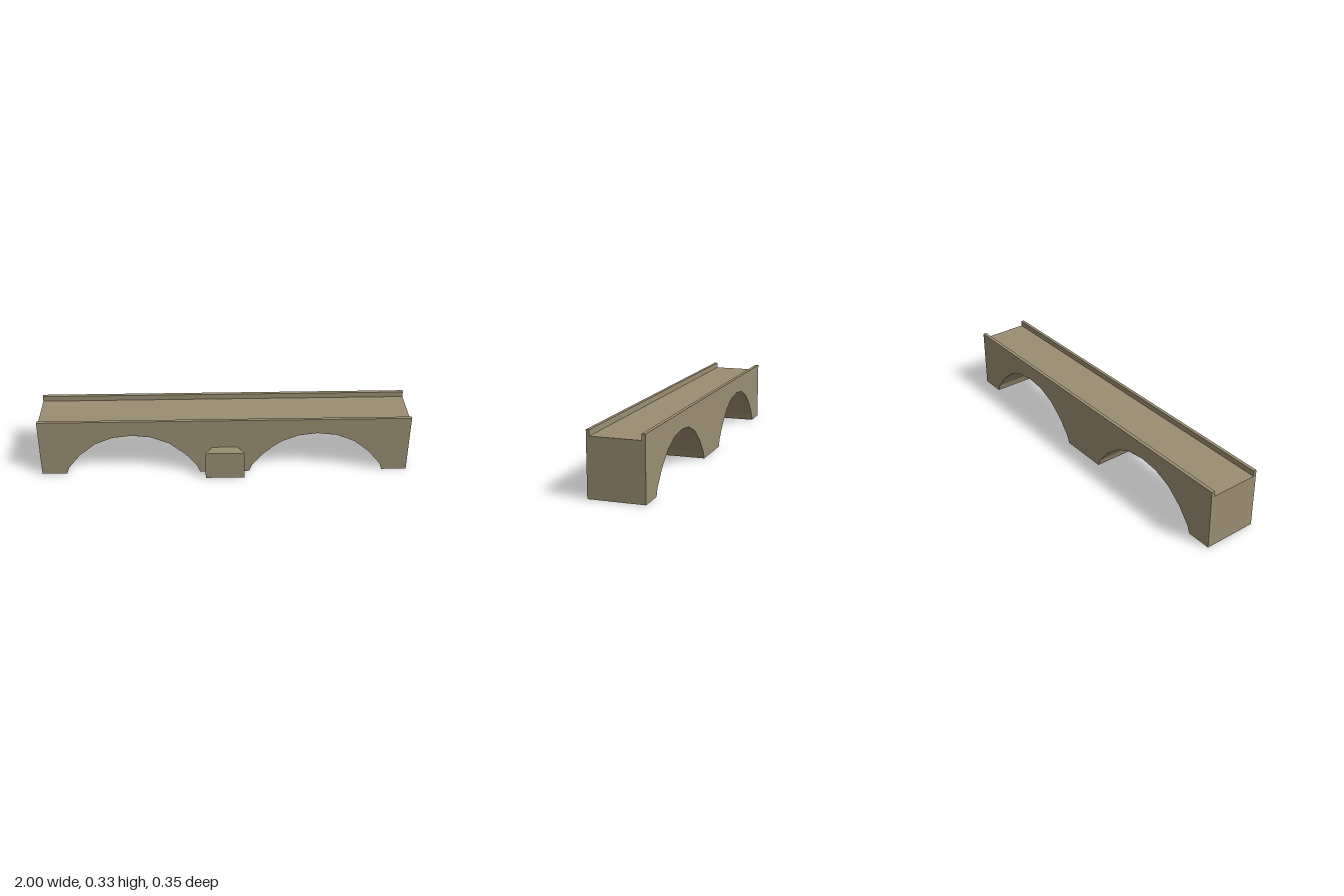
import * as THREE from 'three';

const BACK = -0.175, FRONT = 0.115, DECK = 0.3, TOP = 0.33;

// Half of one arch: distance from the arch centre, height
const ARCH = [[0.365, 0], [0.35, 0.04], [0.285, 0.12], [0.2, 0.19], [0.105, 0.23], [0, 0.243]];

// Drops every triangle for which the test holds at all three corners
function openUp(geometry, test) {
  const p = geometry.attributes.position;
  const kept = [];
  for (let i = 0; i < p.count; i += 3) {
    const corners = [0, 1, 2].map((k) => new THREE.Vector3().fromBufferAttribute(p, i + k));
    if (!corners.every(test)) corners.forEach((c) => kept.push(c.x, c.y, c.z));
  }
  const open = new THREE.BufferGeometry();
  open.setAttribute('position', new THREE.Float32BufferAttribute(kept, 3));
  open.computeVertexNormals();
  return open;
}

const toShape = (points) => new THREE.Shape(points.map(([x, y]) => new THREE.Vector2(x, y)));

export function createModel() {
  const group = new THREE.Group();
  group.name = 'bridge';
  const stone = new THREE.MeshStandardMaterial({
    color: 0x9a8d72, flatShading: true, side: THREE.DoubleSide,
  });
  const add = (name, geometry) => {
    const mesh = new THREE.Mesh(geometry, stone);
    mesh.name = name;
    group.add(mesh);
    return mesh;
  };

  // Hollow two-arched body, open underneath
  const outline = [[-1, 0]];
  for (const cx of [-0.5, 0.5]) {
    ARCH.forEach(([dx, y]) => outline.push([cx - dx, y]));
    ARCH.slice(0, -1).reverse().forEach(([dx, y]) => outline.push([cx + dx, y]));
  }
  outline.push([1, 0], [1, DECK], [-1, DECK]);
  const body = new THREE.ExtrudeGeometry(toShape(outline), { depth: FRONT - BACK, bevelEnabled: false });
  body.translate(0, 0, BACK);
  add('archedBody', openUp(body, (c) => Math.abs(c.y) < 1e-5));

  // Low parapets along both edges of the deck
  for (const [name, z0, z1] of [['frontParapet', 0.098, FRONT], ['backParapet', BACK, -0.156]]) {
    const parapet = new THREE.BoxGeometry(2, TOP - DECK, z1 - z0).toNonIndexed();
    parapet.translate(0, (TOP + DECK) / 2, (z0 + z1) / 2);
    add(name, openUp(parapet, (c) => Math.abs(c.y - DECK) < 1e-5));
  }

  // Flared pier block on the front, open underneath and against the wall
  const plan = toShape([[-0.07, -FRONT], [-0.105, -0.175], [0.105, -0.175], [0.07, -FRONT]]);
  const block = new THREE.ExtrudeGeometry(plan, { depth: 0.16, bevelEnabled: false });
  block.rotateX(-Math.PI / 2);
  const cut = openUp(block, (c) => Math.abs(c.y) < 1e-5);
  add('pierBlock', openUp(cut, (c) => Math.abs(c.z - FRONT) < 1e-5));

  return group;
}
